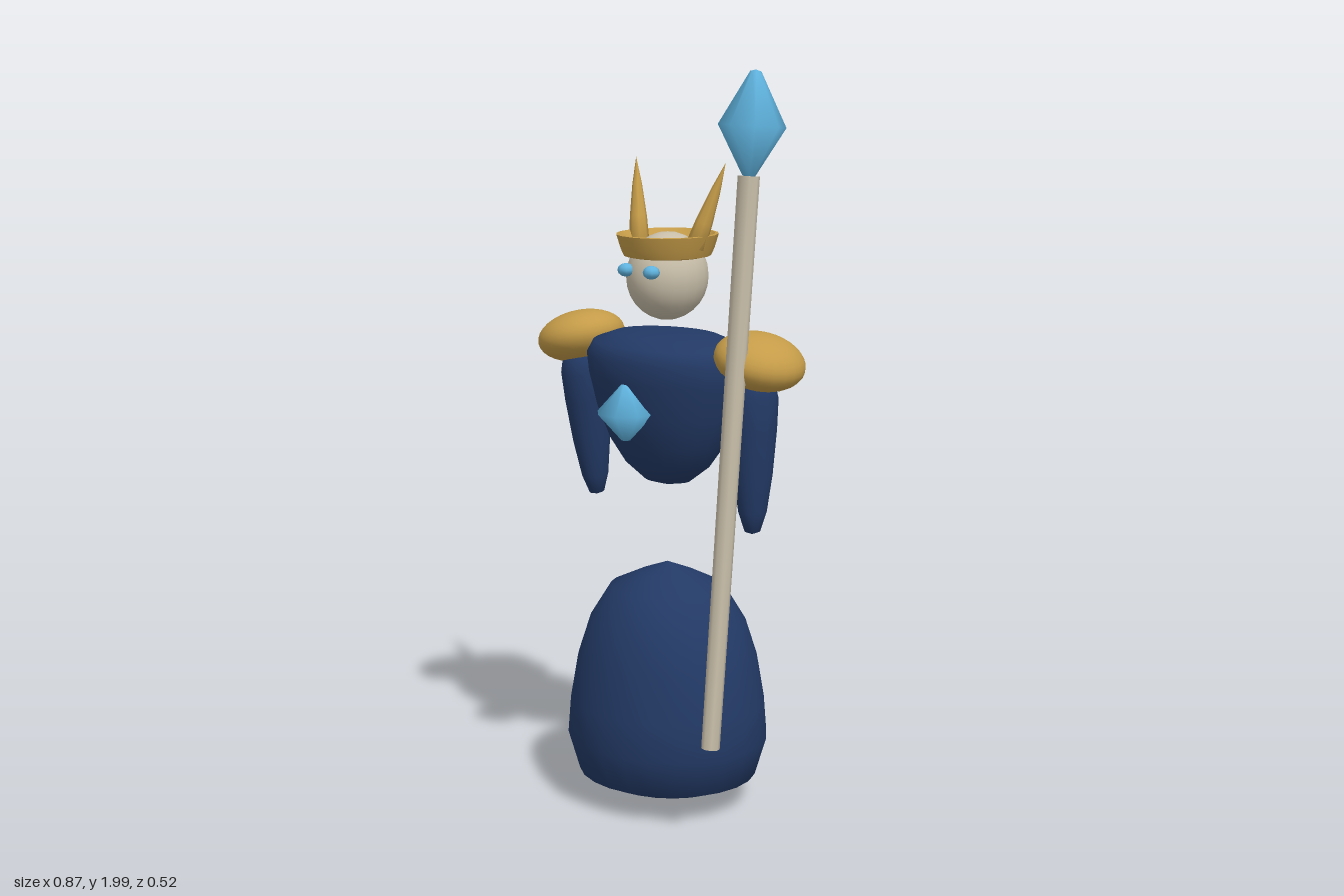
import * as THREE from 'three';
import { toCreasedNormals } from 'three/addons/utils/BufferGeometryUtils.js';

const material = (name, color) => {
  const m = new THREE.MeshStandardMaterial({ color });
  m.name = name;
  return m;
};

// Solid of revolution from [radius, height] pairs, listed bottom to top
const turned = (pairs, sides) =>
  new THREE.LatheGeometry(pairs.map(([r, y]) => new THREE.Vector2(r, y)), sides);

export function createModel() {
  const navy = material('navy cloth', 0x233a66);
  const gold = material('gold', 0xc49b48);
  const bone = material('bone', 0xc8bea9);
  const blue = material('blue crystal', 0x60b4e0);

  const model = new THREE.Group();
  model.name = 'floatingMage';

  const add = (name, geometry, mat, position = [0, 0, 0], scale = [1, 1, 1], parent = model) => {
    const mesh = new THREE.Mesh(geometry, mat);
    mesh.name = name;
    mesh.position.set(...position);
    mesh.scale.set(...scale);
    parent.add(mesh);
    return mesh;
  };

  // Bell-shaped robe skirt, floating below the torso
  add('skirt', turned([
    [0, 0.005], [0.1, 0.033], [0.19, 0.06], [0.25, 0.085], [0.282, 0.19], [0.274, 0.29],
    [0.253, 0.41], [0.22, 0.51], [0.16, 0.605], [0.08, 0.642], [0, 0.672],
  ], 24), navy, [0, 0, 0], [1, 1, 0.93]);

  // Torso
  add('torso', turned([
    [0, 0.885], [0.07, 0.9], [0.13, 0.945], [0.178, 1.01], [0.215, 1.09], [0.24, 1.18],
    [0.247, 1.235], [0.225, 1.272], [0.16, 1.295], [0.08, 1.302], [0, 1.304],
  ], 24), navy, [0, 0, 0], [1, 1, 0.71]);

  // Chest crystal
  const chestGem = turned([[0, -0.076], [0.012, -0.074], [0.079, 0], [0.012, 0.074], [0, 0.076]], 8);
  chestGem.rotateY(Math.PI / 8);
  add('chestCrystal', chestGem, blue, [0, 1.105, 0.163]);

  // Head and eyes
  add('head', new THREE.SphereGeometry(1, 20, 14), bone, [0, 1.45, 0], [0.105, 0.117, 0.116]);
  const eye = new THREE.SphereGeometry(1, 8, 6);

  // Crown band with a shallow sunken top
  add('crown', toCreasedNormals(turned([
    [0.09, 1.5], [0.113, 1.505], [0.122, 1.525], [0.133, 1.562], [0.124, 1.563], [0.105, 1.545], [0, 1.545],
  ], 20), 0.6), gold, [0, 0, 0], [1, 1, 1.05]);

  // Crown horn, leaning outward and back
  const hornBase = new THREE.Vector3(0.098, 1.53, 0.003);
  const hornTip = new THREE.Vector3(0.158, 1.752, -0.05);
  const hornAxis = hornTip.clone().sub(hornBase);
  const horn = turned([
    [0, 0], [0.027, 0.002], [0.023, 0.07], [0.013, 0.16], [0, hornAxis.length()],
  ], 8);

  // Sleeve, hanging from the shoulder
  const sleeve = turned([
    [0, -0.43], [0.02, -0.422], [0.036, -0.37], [0.05, -0.27], [0.06, -0.15],
    [0.063, -0.07], [0.05, -0.01], [0, 0.01],
  ], 14);
  const pauldron = new THREE.SphereGeometry(1, 24, 16);

  for (const [side, s] of [['left', 1], ['right', -1]]) {
    add(side + 'Eye', eye, blue, [s * 0.045, 1.472, 0.112], [0.023, 0.018, 0.022]);

    const h = add(side + 'Horn', horn, gold, [s * hornBase.x, hornBase.y, hornBase.z]);
    const axis = new THREE.Vector3(s * hornAxis.x, hornAxis.y, hornAxis.z).normalize();
    h.quaternion.setFromUnitVectors(new THREE.Vector3(0, 1, 0), axis);

    const p = add(side + 'Pauldron', pauldron, gold, [s * 0.319, 1.257, 0], [0.119, 0.07, 0.122]);
    p.rotation.z = -s * 0.27;

    const arm = add(side + 'Sleeve', sleeve, navy, [s * 0.307, 1.23, 0.01], [1, 1, 1.08]);
    arm.rotation.x = s > 0 ? 0 : 0.13;
  }

  // Staff, leaning back from its foot to its crystal tip
  const staff = new THREE.Group();
  staff.name = 'staff';
  staff.position.set(0.335, 0.27, 0.205);
  staff.rotation.x = -Math.atan2(0.137, 1.465);
  model.add(staff);
  const length = 1.472;
  add('staffShaft', toCreasedNormals(new THREE.CylinderGeometry(0.028, 0.024, length, 8), 1),
    bone, [0, length / 2, 0], [1, 1, 1], staff);
  add('staffCrystal', turned([
    [0, 0], [0.016, 0.004], [0.086, 0.128], [0.014, 0.263], [0, 0.267],
  ], 8), blue, [0, length - 0.004, 0], [1, 1, 1], staff);

  return model;
}
